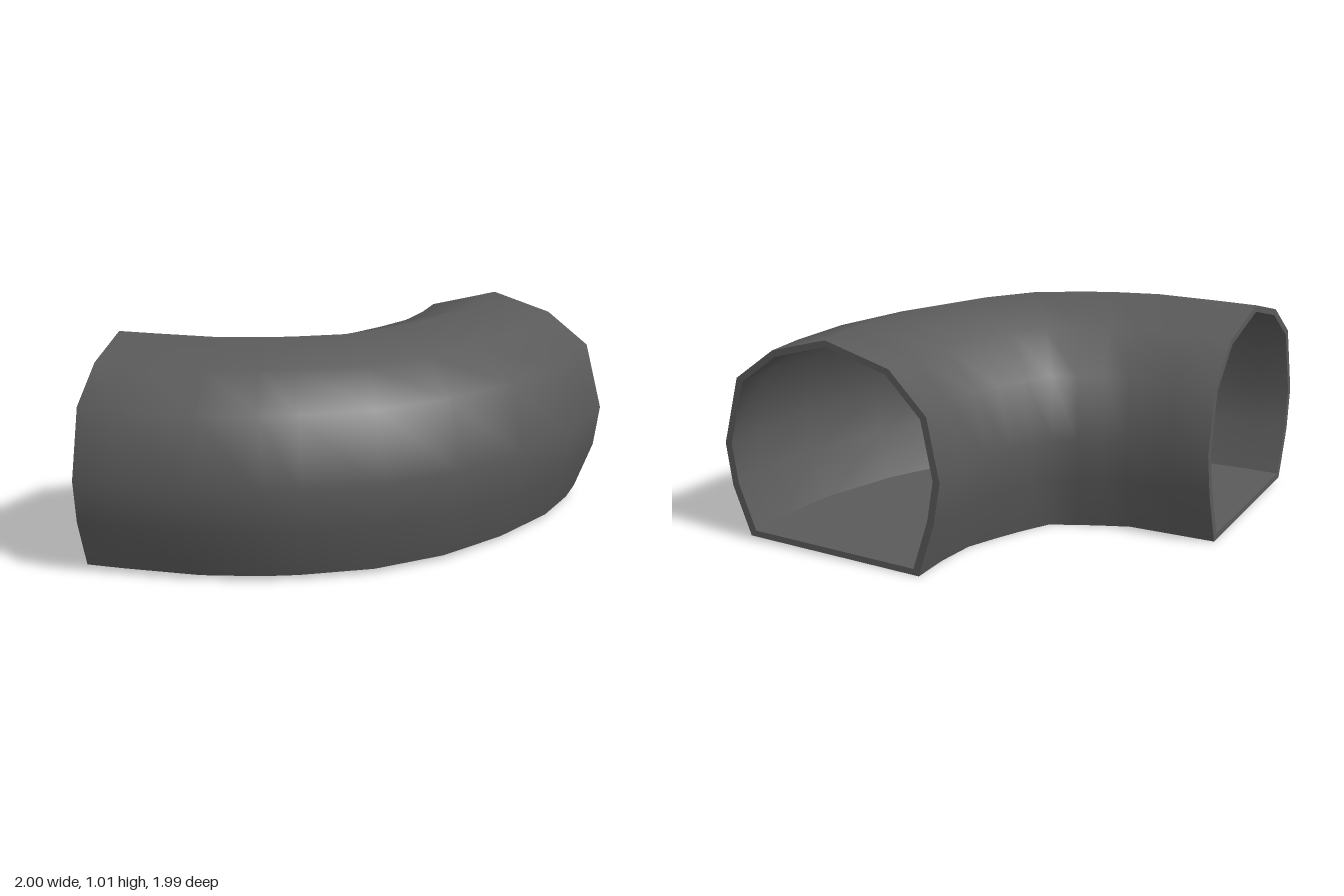
import * as THREE from 'three';
import { toCreasedNormals } from 'three/addons/utils/BufferGeometryUtils.js';

// Widest lines of the bend in plan [x, z], station by station
const outerRail = [[1, -1], [1, -0.8], [0.96, -0.47], [0.82, -0.05], [0.62, 0.32], [0.35, 0.61],
  [0.03, 0.81], [-0.13, 0.88], [-0.41, 0.955], [-0.8, 0.985], [-0.97, 0.99]];
const innerRail = [[-0.13, -1], [-0.13, -0.8], [-0.15, -0.62], [-0.2, -0.507], [-0.25, -0.393], [-0.3, -0.28],
  [-0.4, -0.235], [-0.5, -0.19], [-0.6, -0.145], [-0.8, -0.138], [-1, -0.13]];

// Flat-bottomed section: [fraction from inner to outer rail, height]
const section = [[0.893, 0.02], [0.973, 0.25], [1, 0.45], [0.929, 0.77], [0.751, 0.925], [0.502, 1.01],
  [0.216, 0.925], [0.054, 0.74], [0, 0.45], [0.03, 0.25], [0.1, 0]];
// The inside wall is the same section, slightly shrunk
const lining = section.map(([t, y]) => [0.5 + (t - 0.5) * 0.94, 0.5 + (y - 0.5) * 0.94]);

function ring(profile, i) {
  const [ax, az] = innerRail[i], [bx, bz] = outerRail[i];
  return profile.map(([t, y]) => [ax + (bx - ax) * t, y, az + (bz - az) * t]);
}

// Joins pairs of closed rings with quads
function bridge(rings, flip) {
  const pos = [];
  for (let i = 0; i < rings.length - 1; i++) {
    const p = rings[i], q = rings[i + 1], n = p.length;
    for (let j = 0; j < n; j++) {
      const k = (j + 1) % n;
      const a = p[j], b = p[k], c = q[k], d = q[j];
      for (const v of flip ? [a, c, b, a, d, c] : [a, b, c, a, c, d]) pos.push(...v);
    }
  }
  const g = new THREE.BufferGeometry();
  g.setAttribute('position', new THREE.Float32BufferAttribute(pos, 3));
  return toCreasedNormals(g, 0.87);
}

export function createModel() {
  const group = new THREE.Group();
  group.name = 'curvedTunnel';
  const grey = new THREE.MeshStandardMaterial({ color: 0x5a5a5a });
  grey.name = 'darkGrey';

  const add = (name, geometry) => {
    const mesh = new THREE.Mesh(geometry, grey);
    mesh.name = name;
    group.add(mesh);
  };

  const outside = outerRail.map((_, i) => ring(section, i));
  const inside = outerRail.map((_, i) => ring(lining, i));
  const last = outerRail.length - 1;

  add('outerShell', bridge(outside, false));
  add('innerLining', bridge(inside, true));
  // Narrow rims close the wall at both openings
  add('backRim', bridge([outside[0], inside[0]], true));
  add('sideRim', bridge([outside[last], inside[last]], false));
  return group;
}
